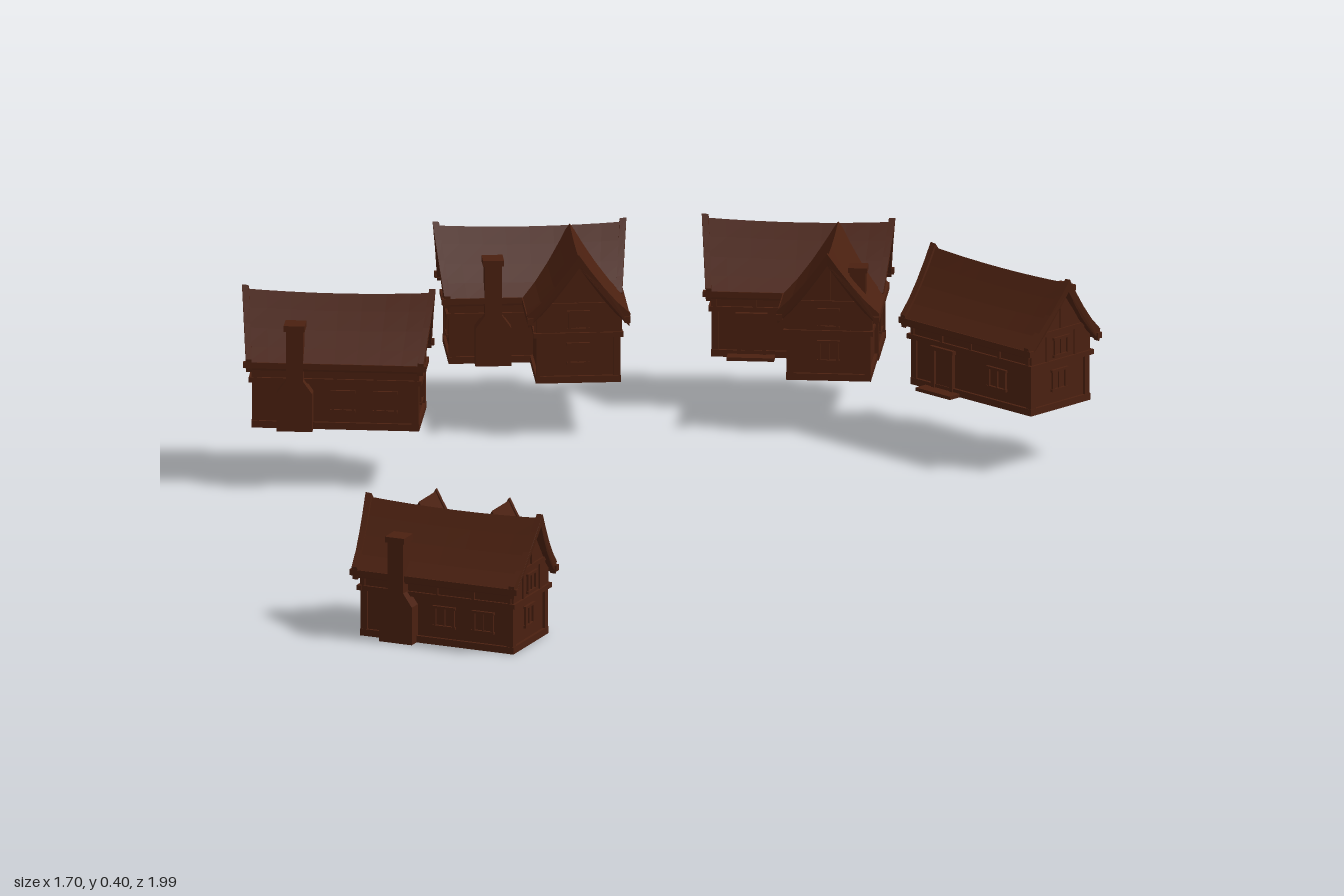
import * as THREE from 'three';

const wood = new THREE.MeshStandardMaterial({ color: 0x4a2010, flatShading: true });

function add(parent, name, geo, x = 0, y = 0, z = 0) {
  const m = new THREE.Mesh(geo, wood);
  m.name = name;
  m.position.set(x, y, z);
  parent.add(m);
  return m;
}
const box = (parent, name, w, h, d, x, y, z) => add(parent, name, new THREE.BoxGeometry(w, h, d), x, y, z);

// Half profile of the swept, concave gable: [distance from ridge, height]
const PROFILE = [[0, 0.264], [0.022, 0.232], [0.048, 0.197], [0.075, 0.165], [0.103, 0.138]];
const RIDGE = 0.264, EAVE = 0.138;

// Closed outline mirrored about the ridge; `thick` is the slab depth
function slabShape(profile, thick, lift = 0) {
  const right = profile.map(([z, y]) => [z, y + lift]);
  const left = right.slice(1).reverse().map(([z, y]) => [-z, y]);
  const top = [...left, ...right];
  const under = top.map(([z, y]) => [z * 0.98, y - thick]).reverse();
  return new THREE.Shape([...top, ...under].map(([z, y]) => new THREE.Vector2(z, y)));
}

// Extrude an outline (z, y) along x from x0 to x1
function alongX(shape, x0, x1, steps = 1) {
  const g = new THREE.ExtrudeGeometry(shape, { depth: x1 - x0, steps, bevelEnabled: false });
  g.rotateY(Math.PI / 2);
  g.translate(x0, 0, 0);
  return g;
}

// Lean the gable ends outward toward the ridge and let the ridge sag
function sweep(geo, r0, r1, flareBack, flare = 0.016, sagBy = 0.006) {
  const p = geo.attributes.position;
  for (let i = 0; i < p.count; i++) {
    const x = p.getX(i), y = p.getY(i);
    const h = THREE.MathUtils.clamp((y - EAVE) / (RIDGE - EAVE), 0, 1.1);
    let t = (2 * x - r0 - r1) / (r1 - r0);
    const sag = sagBy * h * Math.max(0, 1 - t * t);
    if (!flareBack) t = Math.max(t, 0);
    p.setXYZ(i, x + flare * h * t, y - sag, p.getZ(i));
  }
  geo.computeVertexNormals();
  return geo;
}

function roof(parent, x0, x1, bothEnds) {
  add(parent, 'roof', sweep(alongX(slabShape(PROFILE, 0.014), x0, x1, 8), x0, x1, bothEnds));
  const ends = bothEnds ? [x0, x1 - 0.012] : [x1 - 0.012];
  for (const e of ends) {
    add(parent, 'bargeBoard', sweep(alongX(slabShape(PROFILE, 0.026, 0.008), e, e + 0.012), x0, x1, bothEnds));
  }
  // Eave beams with projecting ends
  for (const s of [-1, 1]) {
    box(parent, 'eaveBeam', x1 - x0 + (bothEnds ? 0.012 : 0.006), 0.012, 0.012, (x0 + x1) / 2 + (bothEnds ? 0 : 0.003), 0.134, s * 0.097);
  }
}

function windowFrame(parent, w, h, x, y, z, turned = false) {
  const g = new THREE.Group();
  g.name = 'window';
  g.position.set(x, y, z);
  if (turned) g.rotation.y = Math.PI / 2;
  for (const s of [-1, 1]) {
    box(g, 'jamb', 0.005, h, 0.008, s * w / 2, 0, 0);
    box(g, 'rail', w + 0.01, 0.005, 0.01, 0, s * h / 2, 0);
  }
  box(g, 'mullion', 0.003, h, 0.005, 0, 0, 0);
  parent.add(g);
}

// Timber-framed walls from x0 to x1 with an overhanging upper storey
function walls(parent, x0, x1, bothEnds) {
  const len = x1 - x0, mid = (x0 + x1) / 2;
  box(parent, 'lowerWall', len - 0.012, 0.1, 0.158, mid, 0.05, 0);
  box(parent, 'plinth', len, 0.014, 0.17, mid, 0.007, 0);
  const inner = PROFILE.slice(0, 4).map(([z, y]) => [z, y - 0.01]);
  const pts = [[-0.084, 0.095], ...[[-0.084, 0.147]], ...inner.slice(1).reverse().map(([z, y]) => [-z, y]),
    ...inner, [0.084, 0.147], [0.084, 0.095]];
  add(parent, 'upperWall', alongX(new THREE.Shape(pts.map(([z, y]) => new THREE.Vector2(z, y))), x0, x1));
  for (const s of [-1, 1]) {
    box(parent, 'storeyBeam', len + 0.006, 0.01, 0.008, mid, 0.1, s * 0.085);
    for (let i = 0; i < 5; i++) {
      const x = x0 + 0.008 + (len - 0.016) * i / 4;
      box(parent, 'upperStud', 0.007, 0.035, 0.006, x, 0.12, s * 0.085);
    }
  }
  for (const e of bothEnds ? [x0, x1] : [x1]) {
    const out = Math.sign(e - mid);
    for (const s of [-1, 1]) {
      box(parent, 'cornerPost', 0.014, 0.1, 0.014, e - out * 0.008, 0.05, s * 0.077);
      box(parent, 'gableStud', 0.006, 0.06, 0.007, e, 0.13, s * 0.04);
    }
    box(parent, 'endBeam', 0.01, 0.01, 0.18, e, 0.1, 0);
    box(parent, 'collarBeam', 0.008, 0.009, 0.13, e, 0.162, 0);
    box(parent, 'kingPost', 0.008, 0.075, 0.008, e, 0.205, 0);
    windowFrame(parent, 0.036, 0.036, e, 0.13, 0, true);
    windowFrame(parent, 0.036, 0.04, e - out * 0.005, 0.06, 0, true);
  }
}

// Door with frame and step; side is +1 or -1 along z
function door(parent, x, side) {
  box(parent, 'door', 0.04, 0.078, 0.006, x, 0.045, side * 0.08);
  for (const s of [-1, 1]) box(parent, 'doorPost', 0.008, 0.09, 0.012, x + s * 0.025, 0.045, side * 0.082);
  box(parent, 'doorLintel', 0.064, 0.008, 0.014, x, 0.088, side * 0.082);
  box(parent, 'doorStep', 0.095, 0.007, 0.042, x, 0.0035, side * 0.092);
}

// Shouldered chimney standing against the +z wall
function chimney(parent, x) {
  const outline = [[-0.036, 0], [0.036, 0], [0.036, 0.078], [0.017, 0.105], [0.017, 0.215],
    [-0.017, 0.215], [-0.017, 0.105], [-0.036, 0.078]];
  const g = new THREE.ExtrudeGeometry(new THREE.Shape(outline.map(([a, b]) => new THREE.Vector2(a, b))),
    { depth: 0.036, bevelEnabled: false });
  add(parent, 'chimney', g, x, 0, 0.072);
  box(parent, 'chimneyCap', 0.042, 0.012, 0.044, x, 0.214, 0.09);
}

function dormer(parent, x) {
  const g = new THREE.Group();
  g.name = 'dormer';
  g.position.x = x;
  g.rotation.y = Math.PI / 2;
  const small = PROFILE.map(([z, y]) => [z * 0.56, RIDGE - (RIDGE - y) * 0.72]);
  add(g, 'dormerRoof', alongX(slabShape(small, 0.009), 0.006, 0.088));
  add(g, 'dormerBoard', alongX(slabShape(small, 0.017, 0.005), 0.086, 0.094));
  const face = [[-0.042, 0.14], [-0.042, 0.182], [0, 0.252], [0.042, 0.182], [0.042, 0.14]];
  add(g, 'dormerWall', alongX(new THREE.Shape(face.map(([a, b]) => new THREE.Vector2(a, b)).reverse()), 0.01, 0.08));
  windowFrame(g, 0.03, 0.032, 0.081, 0.185, 0, true);
  parent.add(g);
}

function house(name, x, y, z, turn, { wing = false, wallChimney = true, wingChimney = false, frontDoor = false, dormers = false }) {
  const g = new THREE.Group();
  g.name = name;
  g.position.set(x, y, z);
  g.rotation.y = turn;
  walls(g, -0.168, 0.168, true);
  roof(g, -0.177, 0.177, true);
  door(g, 0.078, -1);
  windowFrame(g, 0.045, 0.04, -0.07, 0.058, -0.08);
  if (!wing) {
    windowFrame(g, 0.04, 0.04, 0.015, 0.058, 0.08);
    windowFrame(g, 0.04, 0.04, 0.1, 0.058, 0.08);
  }
  if (wallChimney) chimney(g, -0.08);
  if (frontDoor) door(g, -0.087, 1);
  if (dormers) for (const s of [-1, 1]) dormer(g, s * 0.08);
  if (wing) {
    const w = new THREE.Group();
    w.name = 'wing';
    w.position.x = 0.08;
    w.rotation.y = -Math.PI / 2;
    walls(w, 0.03, 0.238, false);
    roof(w, 0.006, 0.252, false);
    if (wingChimney) {
      box(w, 'chimneyStack', 0.032, 0.09, 0.032, 0.178, 0.175, -0.055);
      box(w, 'chimneyCap', 0.038, 0.01, 0.038, 0.178, 0.218, -0.055);
    }
    g.add(w);
  }
  return g;
}

export function createModel() {
  const village = new THREE.Group();
  village.name = 'village';
  village.add(
    house('westHouse', -0.655, 0.123, -0.267, 0, {}),
    house('northWestHouse', -0.32, 0.113, -0.812, 0.16, { wing: true }),
    house('northHouse', 0.2125, 0.113, -0.885, 0, { wing: true, wallChimney: false, wingChimney: true, frontDoor: true }),
    house('eastHouse', 0.643, 0.12, -0.574, Math.PI - 0.687, {}),
    house('southHouse', -0.33, 0, 0.833, -0.34, { dormers: true }),
  );
  return village;
}
